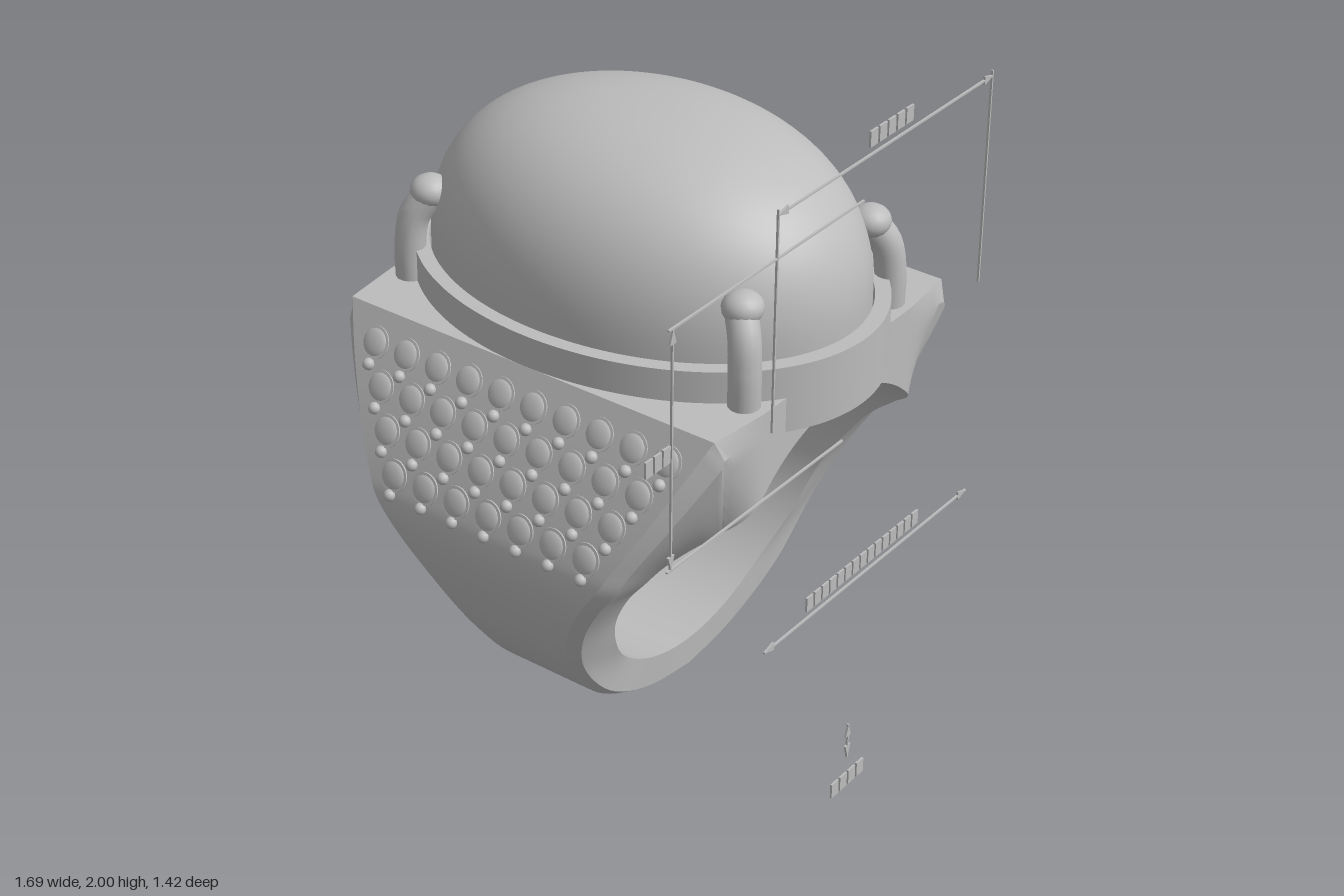
import * as THREE from 'three';
import { toCreasedNormals } from 'three/addons/utils/BufferGeometryUtils.js';

const CX = 0.123, CY = 0.685, CZ = -0.025, R = 0.474; // bore centre and radius
const TOP = 1.28;

// band sections: bore angle from the bottom, outer x, outer y, inner half width, outer half width
const BAND = [
  [0, 0, 0.10, 0.155, 0.12], [20, 0.2, 0.135, 0.158, 0.122], [40, 0.405, 0.25, 0.17, 0.14],
  [58, 0.555, 0.43, 0.205, 0.165], [75, 0.65, 0.62, 0.245, 0.235], [88, 0.695, 0.77, 0.30, 0.32],
  [96, 0.698, 0.845, 0.35, 0.37], [104, 0.68, 0.91, 0.40, 0.405], [112, 0.637, 1.02, 0.46, 0.465],
  [118, 0.578, 1.15, 0.51, 0.53], [122, 0.512, TOP, 0.54, 0.59],
];

export function createModel() {
  const model = new THREE.Group();
  model.name = 'ring';
  const metal = new THREE.MeshStandardMaterial({ color: 0xbcbcbc });
  metal.name = 'grey metal';

  const add = (name, geometry, x = 0, y = 0, z = 0, parent = model) => {
    const mesh = new THREE.Mesh(geometry, metal);
    mesh.name = name;
    mesh.position.set(x, y, z);
    parent.add(mesh);
    return mesh;
  };

  add('band', bandGeometry());

  // full, flat-topped oval dome with a flat base
  const profile = [new THREE.Vector2(0, 1.175), new THREE.Vector2(0.467, 1.175)];
  for (let i = 0; i <= 28; i++) {
    const a = (i / 28) * Math.PI / 2, e = 2 / 2.4;
    profile.push(new THREE.Vector2(0.467 * Math.max(0, Math.cos(a)) ** e, 1.37 + 0.45 * Math.sin(a) ** e));
  }
  profile[profile.length - 1].x = 0;
  const stone = new THREE.LatheGeometry(profile, 72).scale(1, 1, 0.637 / 0.467);
  add('ovalStone', toCreasedNormals(stone, 0.6), CX, 0, CZ);

  // oval bezel around the stone
  const oval = new THREE.Shape().absellipse(0, 0, 0.512, 0.686, 0, Math.PI * 2, false, 0);
  oval.holes.push(new THREE.Path().absellipse(0, 0, 0.472, 0.642, 0, Math.PI * 2, true, 0));
  const bezel = new THREE.ExtrudeGeometry(oval, { depth: 0.19, bevelEnabled: false, curveSegments: 72 });
  add('bezel', toCreasedNormals(bezel.rotateX(-Math.PI / 2), 0.6), CX, 1.18, CZ);

  // four bent prongs with rounded tips
  const tipGeometry = new THREE.SphereGeometry(0.05, 18, 12).scale(1.1, 0.88, 1.1);
  for (const sx of [-1, 1]) for (const sz of [-1, 1]) {
    const prong = new THREE.Group();
    prong.name = 'prong';
    prong.position.set(CX, 0, CZ);
    const path = new THREE.CatmullRomCurve3([
      [0.325, 1.26, 0.545], [0.325, 1.38, 0.545], [0.315, 1.46, 0.535], [0.285, 1.525, 0.5],
    ].map(([x, y, z]) => new THREE.Vector3(x * sx, y, z * sz)));
    add('prongStem', new THREE.TubeGeometry(path, 14, 0.043, 14), 0, 0, 0, prong);
    add('prongTip', tipGeometry, 0.283 * sx, 1.528, 0.505 * sz, prong);
    model.add(prong);
  }

  // rows of small round stones and beads on both shoulders, with holes opening into the bore
  const gem = new THREE.SphereGeometry(0.04, 18, 6, 0, Math.PI * 2, 0, Math.PI / 2).scale(1, 0.3, 1);
  const socket = new THREE.CylinderGeometry(0.045, 0.045, 0.008, 24);
  const bead = new THREE.SphereGeometry(0.017, 10, 8);
  const hole = new THREE.CylinderGeometry(0.024, 0.024, 0.006, 14);
  const up = new THREE.Vector3(0, 1, 0);
  for (const s of [-1, 1]) {
    const paving = new THREE.Group();
    paving.name = s > 0 ? 'leftShoulderStones' : 'rightShoulderStones';
    model.add(paving);
    [1.2, 1.105, 1.01, 0.912].forEach((y, row) => {
      const count = 10 - row, x = outerX(y);
      const slope = (outerX(y + 0.04) - outerX(y - 0.04)) / 0.08;
      const normal = new THREE.Vector3(s, -slope, 0).normalize();
      const radial = new THREE.Vector3(s * x, y - CY, 0).normalize();
      for (let i = 0; i < count; i++) {
        const z = CZ + (i - (count - 1) / 2) * 0.106;
        add('smallStone', gem, CX + s * x, y, z, paving).quaternion.setFromUnitVectors(up, normal);
        add('stoneSocket', socket, CX + s * x, y, z, paving).quaternion.setFromUnitVectors(up, normal);
        add('bead', bead, CX + s * (outerX(y - 0.052) + 0.005), y - 0.052, z, paving);
        add('boreHole', hole, CX + radial.x * R, CY + radial.y * R, z, paving)
          .quaternion.setFromUnitVectors(up, radial);
      }
    });
  }

  addDimensions(model, add);
  return model;
}

// half width of the band's outer face line at a height on the shoulder
function outerX(y) {
  const i = Math.max(7, BAND.findIndex(b => b[2] > y));
  const [, x0, y0] = BAND[i - 1], [, x1, y1] = BAND[i];
  return x0 + (x1 - x0) * (y - y0) / (y1 - y0);
}

// band skinned through cross-sections, with an oval opening under the stone
function bandGeometry() {
  const outer = new THREE.CatmullRomCurve3(BAND.map(b => new THREE.Vector3(b[1], b[2], b[4])));
  const inner = new THREE.CatmullRomCurve3(BAND.map(b => new THREE.Vector3(b[0], b[3], 0)));
  const half = [];
  const section = (deg, ox, oy, wi, wo) => {
    const a = THREE.MathUtils.degToRad(deg);
    const ix = R * Math.sin(a), iy = CY - R * Math.cos(a);
    const h = deg > 122 && ix < 0.33 ? 0.5 * Math.sqrt(1 - (ix / 0.33) ** 2) : 0;
    const wm = Math.min(0.61, wo + 0.03);
    const loop = [[ix, iy, h]];
    for (let j = 0; j <= 5; j++) {
      const t = j / 5, k = 0.84 * t;
      loop.push([ix + (ox - ix) * k, iy + (oy - iy) * k, wi + (wm - wi) * t]);
    }
    half.push([...loop, [ox, oy, wo], [ox, oy, h]]);
  };
  const steps = (BAND.length - 1) * 6;
  for (let i = 0; i <= steps; i++) {
    const o = outer.getPoint(i / steps), n = inner.getPoint(i / steps);
    section(n.x, o.x, o.y, n.y, o.z);
  }
  for (let i = 1; i <= 30; i++) {
    const deg = 122 + 58 * i / 30, t = Math.min(1, (deg - 122) / 14);
    const ease = 1 - (1 - t) ** 2;
    const ix = R * Math.sin(THREE.MathUtils.degToRad(deg));
    section(deg, ix + (1 - t) * 0.11, TOP, 0.54 + 0.07 * ease, 0.59 + 0.02 * t);
  }
  const mirrored = half.slice(1, -1).reverse().map(sec => sec.map(([x, y, z]) => [-x, y, z]));
  const ring = [...half, ...mirrored], pos = [], n = half[0].length;
  for (const sz of [1, -1]) for (let i = 0; i < ring.length; i++) {
    const p = ring[i], q = ring[(i + 1) % ring.length];
    for (let j = 0; j < n; j++) {
      const m = (j + 1) % n;
      if (m === 0 && p[0][2] === 0 && q[0][2] === 0) continue;
      const quad = [p[j], p[m], q[m], q[j]];
      const order = sz > 0 ? [0, 1, 2, 0, 2, 3] : [0, 2, 1, 0, 3, 2];
      for (const v of order) pos.push(CX + quad[v][0], quad[v][1], CZ + sz * quad[v][2]);
    }
  }
  const g = new THREE.BufferGeometry();
  g.setAttribute('position', new THREE.Float32BufferAttribute(pos, 3));
  return toCreasedNormals(g, 0.5);
}

// thin measuring lines, arrowheads and blank label tabs in front of the ring
function addDimensions(model, add) {
  const group = new THREE.Group();
  group.name = 'measuringLines';
  model.add(group);
  const plate = (name, x0, y0, x1, y1) =>
    add(name, new THREE.BoxGeometry(x1 - x0, y1 - y0, 0.006), (x0 + x1) / 2, (y0 + y1) / 2, 0.703, group);
  const w = 0.0025;
  const across = (y, x0, x1) => plate('line', x0, y - w, x1, y + w);
  const upright = (x, y0, y1) => plate('line', x - w, y0, x + w, y1);
  const arrow = (x, y, turn) => {
    const tip = new THREE.Shape([[0, 0], [-0.04, 0.012], [-0.04, -0.012]].map(p => new THREE.Vector2(...p)));
    const geo = new THREE.ExtrudeGeometry(tip, { depth: 0.006, bevelEnabled: false });
    add('arrowhead', geo, x, y, 0.7, group).rotation.z = turn * Math.PI / 2;
  };
  const tabs = (x0, x1, y0, y1, n) => {
    const pitch = (x1 - x0) / n;
    for (let i = 0; i < n; i++) plate('labelTab', x0 + i * pitch, y0, x0 + i * pitch + pitch * 0.8, y1);
  };
  across(1.935, -0.345, 0.592); arrow(-0.345, 1.935, 2); arrow(0.592, 1.935, 0);
  upright(-0.343, 1.34, 1.95); upright(0.59, 1.34, 1.95);
  upright(-0.75, 1.16, 1.82); arrow(-0.75, 1.16, 3); arrow(-0.75, 1.82, 1);
  across(1.82, -0.765, 0.02); across(1.16, -0.765, -0.03);
  across(0.685, -0.35, 0.597); arrow(-0.35, 0.685, 2); arrow(0.597, 0.685, 0);
  upright(0.06, 0.10, 0.21); arrow(0.06, 0.10, 3); arrow(0.06, 0.21, 1);
  tabs(0.035, 0.23, 1.957, 2.0, 5);
  tabs(-0.85, -0.75, 1.467, 1.512, 3);
  tabs(-0.165, 0.36, 0.708, 0.75, 15);
  tabs(-0.01, 0.15, 0, 0.045, 4);
}
